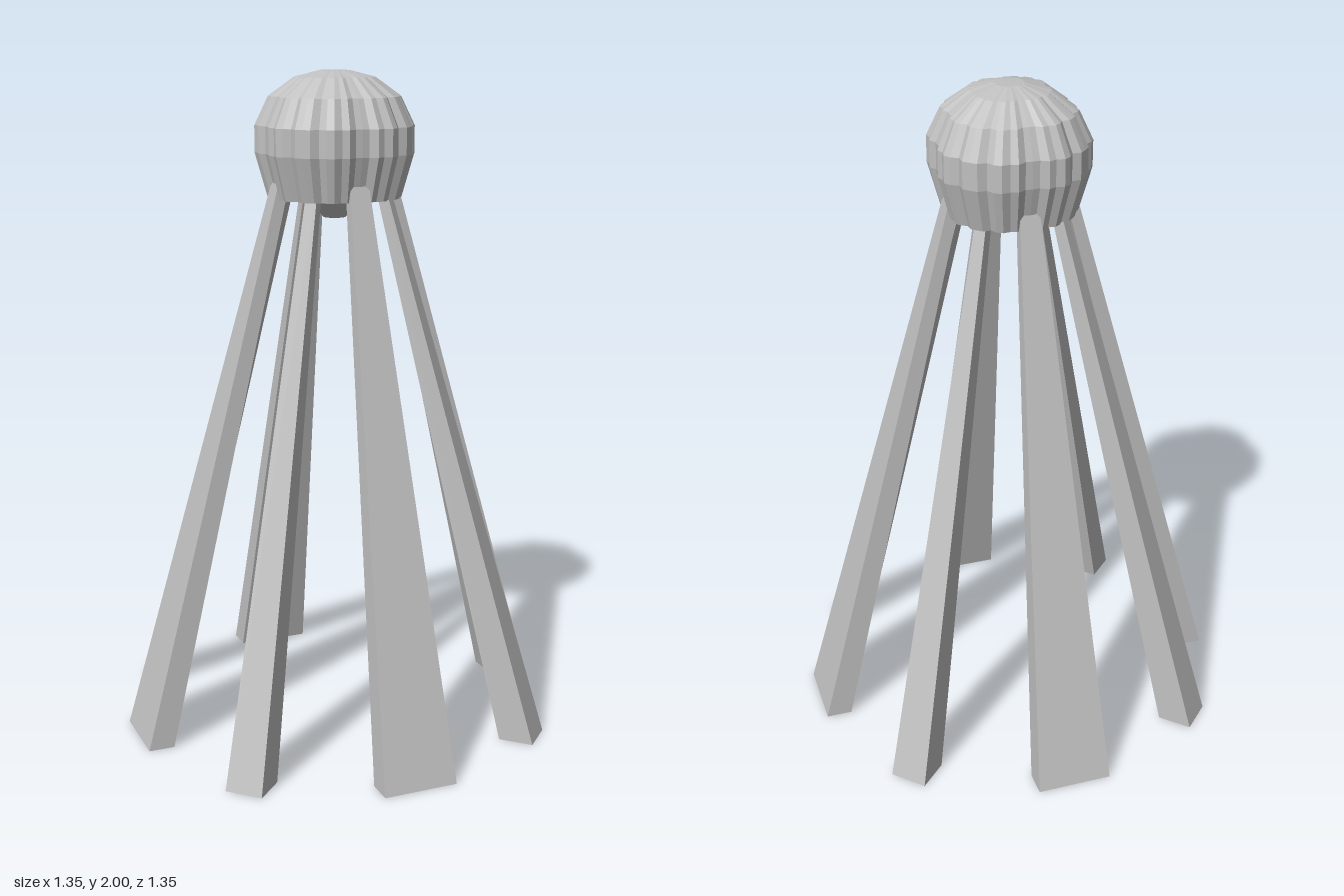
import * as THREE from 'three';

const grey = new THREE.MeshStandardMaterial({ color: 0xc0c0c0, flatShading: true, side: THREE.DoubleSide });
grey.name = 'light grey';

const LEG_REF = 1.63; // height of the dome rim, where the top section is measured
const LEG_TOP = 1.72; // legs run a little way up into the dome

// Leaning, tapering leg: foot and top are [inner radius, outer radius, half width]
function makeLeg(foot, top, name) {
  const geo = new THREE.BoxGeometry(1, 1, 1);
  const p = geo.attributes.position;
  for (let i = 0; i < p.count; i++) {
    const y = (p.getY(i) + 0.5) * LEG_TOP;
    const [inner, outer, half] = foot.map((f, k) => THREE.MathUtils.lerp(f, top[k], y / LEG_REF));
    p.setXYZ(i, Math.sign(p.getX(i)) * half, y, p.getZ(i) > 0 ? outer : inner);
  }
  geo.computeVertexNormals();
  const mesh = new THREE.Mesh(geo, grey);
  mesh.name = name;
  return mesh;
}

// Ribbed dome: a lathe whose radius follows a repeating pattern of lobes
function makeDome() {
  const profile = [
    [0, 1.665], [0.175, 1.665], [0.2, 1.63], [0.237, 1.76], [0.237, 1.84],
    [0.196, 1.925], [0.12, 1.98], [0.045, 1.999], [0, 2],
  ].map(([r, y]) => new THREE.Vector2(r, y));
  // lobe scale from a straight leg (0 degrees) to a diagonal leg (45 degrees)
  const lobes = [1, 1, 0.935, 0.985, 1, 0.95, 0.96, 0.89, 0.89];
  const geo = new THREE.LatheGeometry(profile, 64);
  const p = geo.attributes.position;
  for (let i = 0; i < p.count; i++) {
    const step = Math.floor(i / profile.length) % 16;
    const s = lobes[step <= 8 ? step : 16 - step];
    p.setXYZ(i, p.getX(i) * s, p.getY(i), p.getZ(i) * s);
  }
  geo.computeVertexNormals();
  const mesh = new THREE.Mesh(geo, grey);
  mesh.name = 'ribbedDome';
  return mesh;
}

export function createModel() {
  const model = new THREE.Group();
  model.name = 'domedTower';

  // Eight legs: narrow ones on the axes, wide ones on the diagonals
  const legs = new THREE.Group();
  legs.name = 'legs';
  for (let i = 0; i < 8; i++) {
    const leg = i % 2
      ? makeLeg([0.572, 0.65, 0.113], [0.167, 0.202, 0.032], 'wideLeg')
      : makeLeg([0.57, 0.675, 0.057], [0.146, 0.18, 0.018], 'narrowLeg');
    leg.rotation.y = (i * Math.PI) / 4;
    legs.add(leg);
  }
  model.add(legs, makeDome());

  // Small tapered hub hanging under the dome
  const hub = new THREE.Mesh(new THREE.CylinderGeometry(0.12, 0.035, 0.095, 8), grey);
  hub.name = 'hub';
  hub.position.y = 1.617;
  model.add(hub);

  return model;
}
